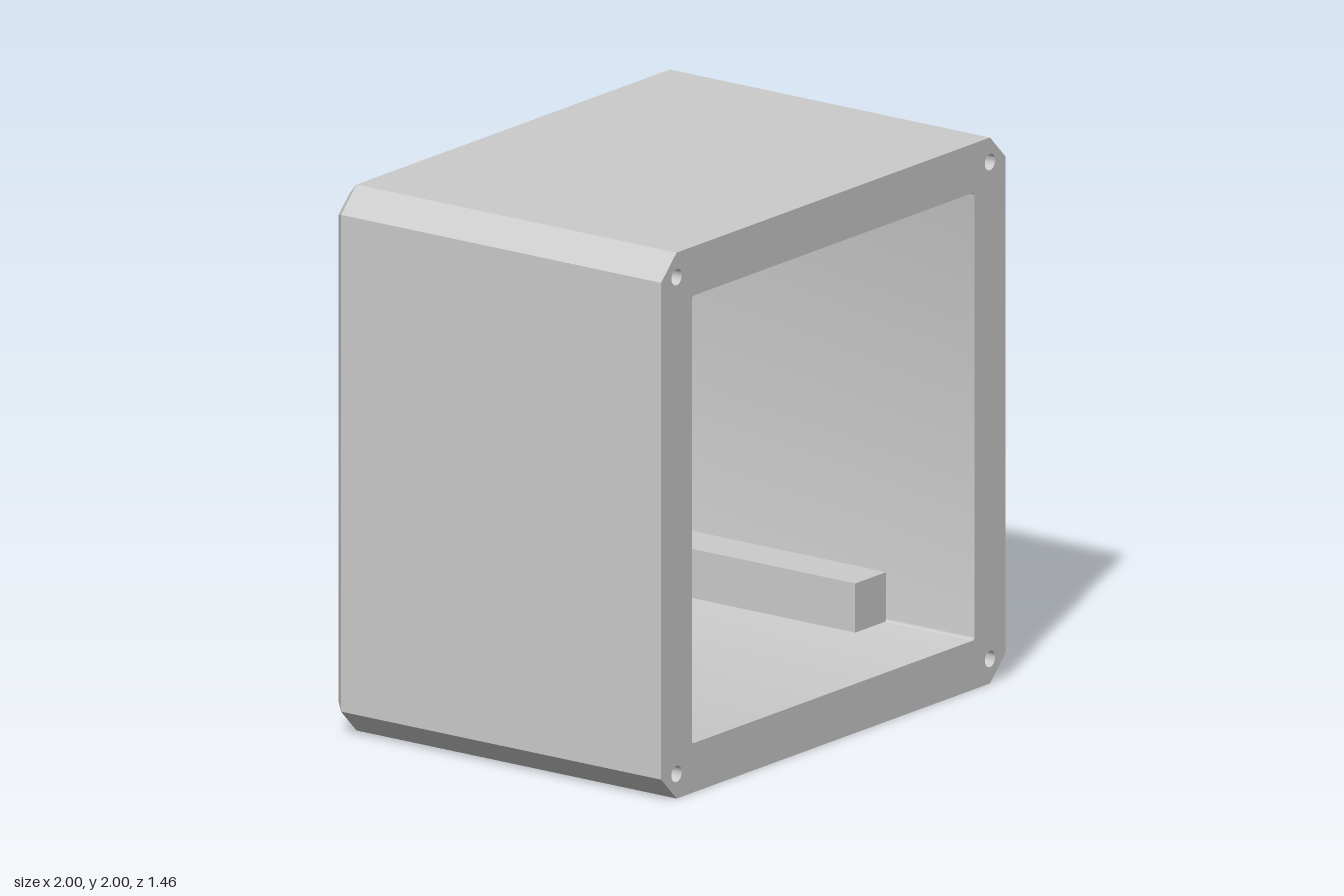
import * as THREE from 'three';
import { mergeGeometries, toCreasedNormals } from 'three/addons/utils/BufferGeometryUtils.js';

const FRONT = 0.73, BACK = -0.73, BEVEL = 0.045;
const FLOOR = -0.64;                       // inner face of the back wall
const INNER = 0.82, POST = 0.18, POST_FRONT = 0.34;
const HOLE_POS = 0.91, HOLE_R = 0.03, HOLE_DEPTH = 0.36;
const CORNERS = [[1, 1], [-1, 1], [-1, -1], [1, -1]];

// Square with cut corners, counter-clockwise: half width h, cut length c
function octagon(h, c) {
  const k = h - c;
  return [[h, -k], [h, k], [k, h], [-k, h], [-h, k], [-h, -k], [-k, -h], [k, -h]]
    .map(([x, y]) => new THREE.Vector2(x, y));
}

// Arc of points around (cx, cy)
function arc(cx, cy, r, start, sweep, n) {
  return Array.from({ length: n }, (_, i) => {
    const a = start + sweep * i;
    return new THREE.Vector2(cx + r * Math.cos(a), cy + r * Math.sin(a));
  });
}

// Wall strip joining two loops of equal length at two depths
function band(back, zBack, front, zFront) {
  const pos = [];
  back.forEach((b, i) => {
    const j = (i + 1) % back.length;
    const bi = [b.x, b.y, zBack], bj = [back[j].x, back[j].y, zBack];
    const fi = [front[i].x, front[i].y, zFront], fj = [front[j].x, front[j].y, zFront];
    pos.push(...bi, ...bj, ...fj, ...bi, ...fj, ...fi);
  });
  const g = new THREE.BufferGeometry();
  g.setAttribute('position', new THREE.Float32BufferAttribute(pos, 3));
  return g;
}

// Flat face facing +z, with optional holes
function cap(loop, z, holes = []) {
  const shape = new THREE.Shape(loop);
  shape.holes = holes.map((h) => new THREE.Path(h));
  const g = new THREE.ShapeGeometry(shape).toNonIndexed();
  g.deleteAttribute('uv');
  g.deleteAttribute('normal');
  return g.translate(0, 0, z);
}

export function createModel() {
  const group = new THREE.Group();
  group.name = 'enclosure';
  const material = new THREE.MeshStandardMaterial({ color: 0xcccccc });
  const add = (name, geometry) => {
    const mesh = new THREE.Mesh(geometry, material);
    mesh.name = name;
    mesh.position.y = 1;
    group.add(mesh);
    return mesh;
  };
  const merged = (parts) => toCreasedNormals(mergeGeometries(parts), 0.5);

  // Loops: outline, bevelled back outline, cavity and screw holes
  const outer = octagon(1, 0.09);
  const rear = octagon(1 - BEVEL, 0.09 - BEVEL * (2 - Math.SQRT2));
  const r = 0.01;
  const cavity = CORNERS.flatMap(([sx, sy], i) =>
    arc(sx * (INNER - r), sy * (INNER - r), r, i * Math.PI / 2, Math.PI / 8, 5));
  const holes = CORNERS.map(([sx, sy]) =>
    arc(sx * HOLE_POS, sy * HOLE_POS, HOLE_R, 0, Math.PI / 12, 24));

  // Outer shell with bevelled back and pierced front rim
  add('shell', merged([
    cap(outer, FRONT, [cavity, ...holes]),
    band(outer, BACK + BEVEL, outer, FRONT),
    band(rear, BACK, outer, BACK + BEVEL),
    cap(rear, -BACK).rotateY(Math.PI),
  ]));

  // Inside walls and floor of the cavity
  const inward = [...cavity].reverse();
  add('cavity', merged([band(inward, FLOOR, inward, FRONT), cap(cavity, FLOOR)]));

  // Blind screw holes and mounting posts in the four corners
  CORNERS.forEach(([sx, sy], i) => {
    const loop = [...holes[i]].reverse();
    add('screwHole', merged([
      band(loop, FRONT - HOLE_DEPTH, loop, FRONT),
      cap(holes[i], FRONT - HOLE_DEPTH),
    ]));
    const post = add('mountingPost', new THREE.BoxGeometry(POST, POST, POST_FRONT - FLOOR));
    const c = INNER - POST / 2;
    post.position.set(sx * c, 1 + sy * c, (POST_FRONT + FLOOR) / 2);
  });

  return group;
}
